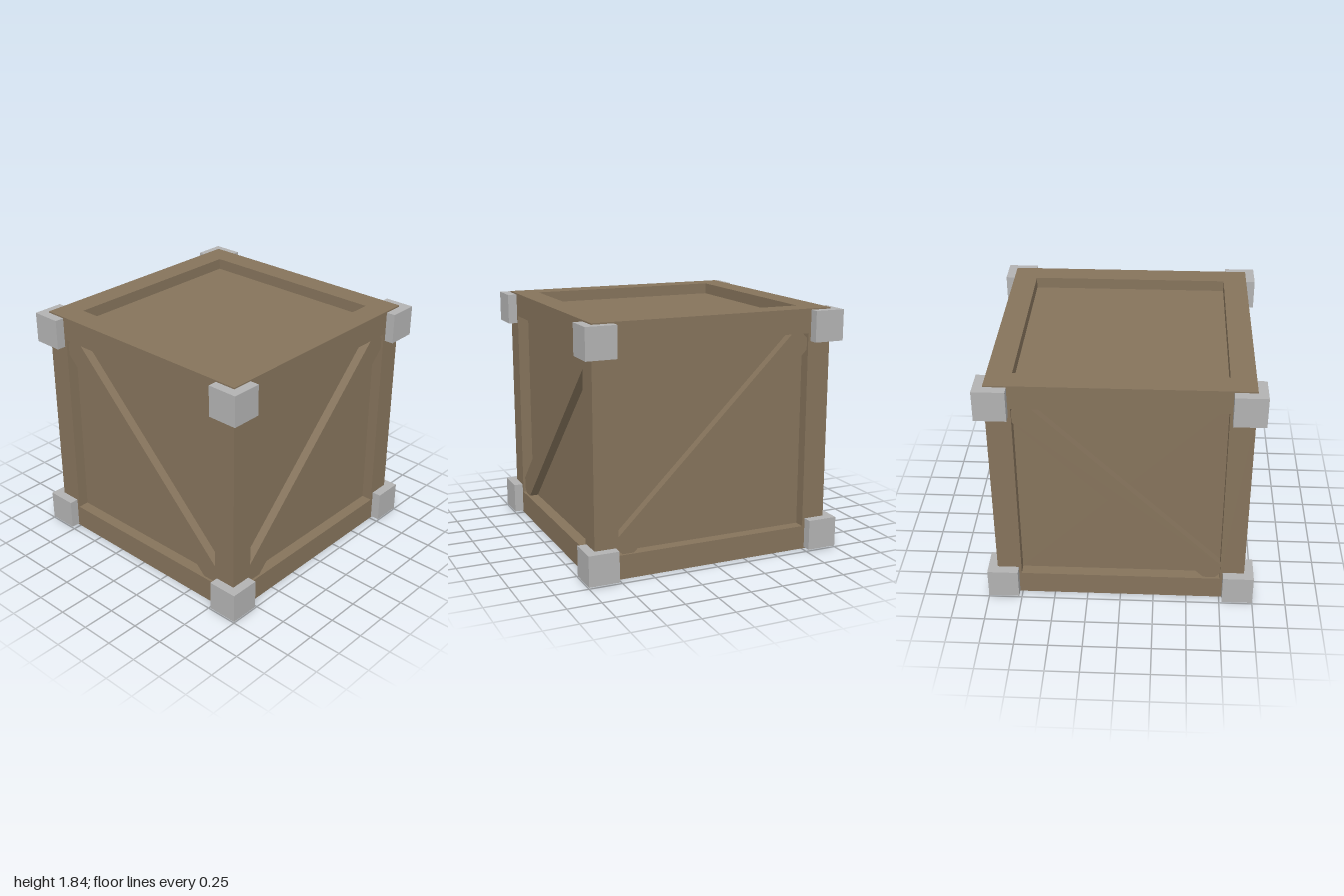
import * as THREE from 'three';

export function createModel() {
  const crate = new THREE.Group();
  crate.name = 'crate';

  const wood = new THREE.MeshStandardMaterial({ color: 0x85735b });
  wood.name = 'wood';
  const metal = new THREE.MeshStandardMaterial({ color: 0xb2b2b2 });
  metal.name = 'metal';

  const H = 1.84;      // crate height
  const W = 0.93;      // half width
  const B = 0.18;      // beam thickness
  const MID = H / 2;
  const RECESS = 0.085; // panel depth below the frame
  const inner = W - B;

  function box(name, material, size, pos) {
    const mesh = new THREE.Mesh(new THREE.BoxGeometry(...size), material);
    mesh.name = name;
    mesh.position.set(...pos);
    crate.add(mesh);
    return mesh;
  }

  // Recessed panels on all six sides
  const core = 2 * (W - RECESS);
  box('panels', wood, [core, H - 2 * RECESS, core], [0, MID, 0]);

  // Frame: four posts, four rails along x and four along z
  const c = W - B / 2;
  for (const a of [-1, 1]) {
    for (const b of [-1, 1]) {
      box('cornerPost', wood, [B, H - 2 * B, B], [a * c, MID, b * c]);
      const y = MID + a * (MID - B / 2);
      box('widthRail', wood, [2 * W, B, B], [0, y, b * c]);
      box('depthRail', wood, [B, B, 2 * inner], [b * c, y, 0]);
    }
  }

  // Diagonal braces, set slightly below the frame surface
  const outer = W - 0.018;
  const back = W - RECESS - 0.02;
  const thick = outer - back;
  const braceZ = (outer + back) / 2;
  const angle = Math.atan2(H - 2 * B, 2 * inner);
  for (const s of [-1, 1]) {
    box('diagonalBrace', wood, [2.055, 0.176, thick], [0, MID, s * braceZ]).rotation.z = -angle;
    box('diagonalBrace', wood, [thick, 0.176, 2.055], [s * braceZ, MID, 0]).rotation.x = angle;
  }

  // Metal corner blocks
  const k = 0.23;
  for (const x of [-1, 1])
    for (const y of [-1, 1])
      for (const z of [-1, 1])
        box('cornerBlock', metal, [k, k, k],
          [x * (1 - k / 2), MID + y * (MID - 0.01 - k / 2), z * (1 - k / 2)]);

  return crate;
}
